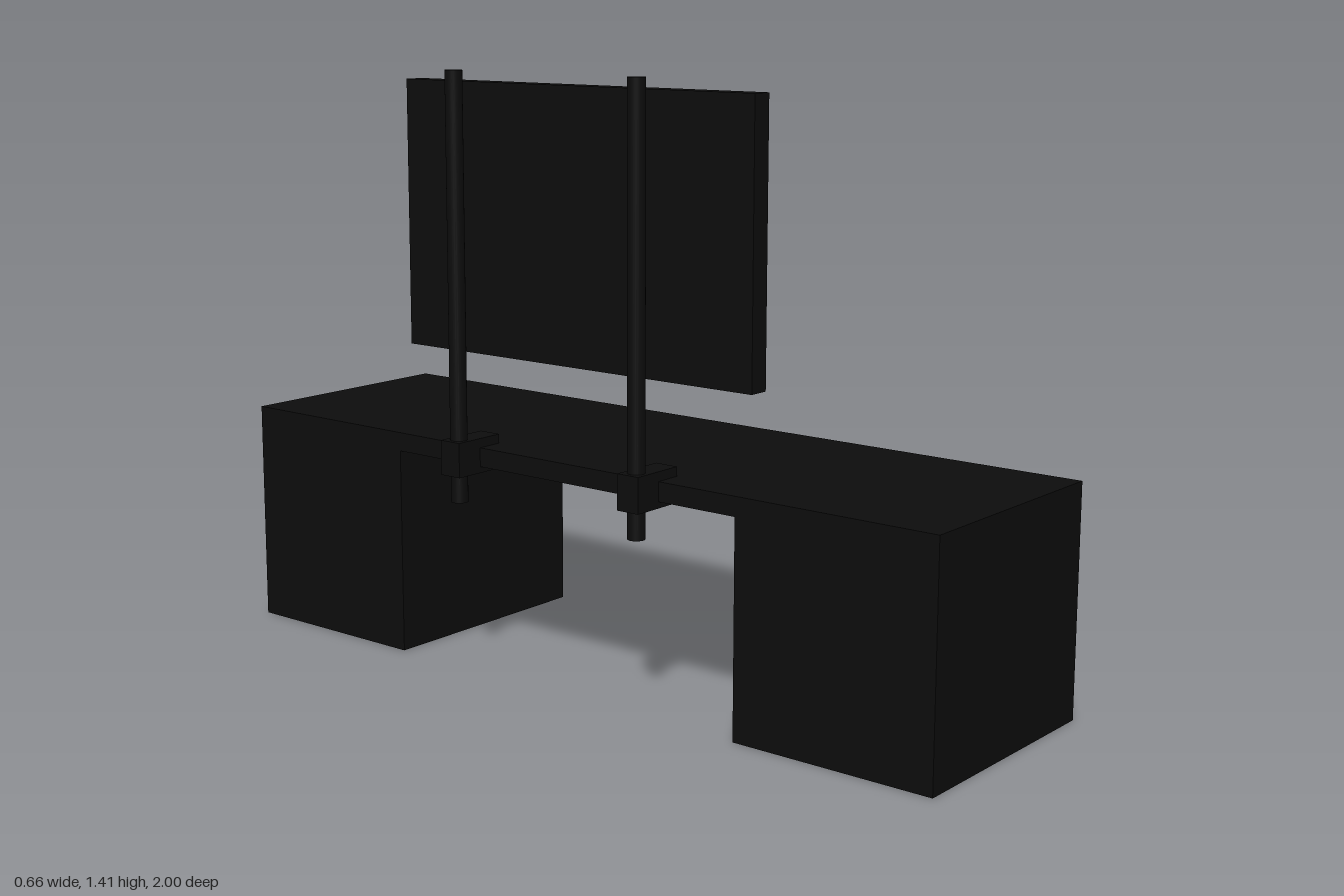
import * as THREE from 'three';

const black = new THREE.MeshStandardMaterial({ color: 0x0d0d0d });
const grey = new THREE.MeshStandardMaterial({ color: 0xcccccc });

// Box given by its two extreme corners
function box(name, [x0, y0, z0], [x1, y1, z1], material = black) {
  const mesh = new THREE.Mesh(new THREE.BoxGeometry(x1 - x0, y1 - y0, z1 - z0), material);
  mesh.position.set((x0 + x1) / 2, (y0 + y1) / 2, (z0 + z1) / 2);
  mesh.name = name;
  return mesh;
}

function createDesk() {
  const desk = new THREE.Group();
  desk.name = 'desk';
  desk.add(
    box('deskTop', [-0.26, 0.5, -1], [0.33, 0.545, 1]),
    box('leftPedestal', [-0.26, 0, 0.5], [0.33, 0.5, 1]),
    box('rightPedestal', [-0.26, 0, -1], [0.33, 0.5, -0.5])
  );
  return desk;
}

function createMonitor() {
  const monitor = new THREE.Group();
  monitor.name = 'monitor';

  // Bezel: rectangle with a window, extruded through the depth
  const outline = new THREE.Shape([
    new THREE.Vector2(-0.505, 0.755), new THREE.Vector2(0.505, 0.755),
    new THREE.Vector2(0.505, 1.385), new THREE.Vector2(-0.505, 1.385)
  ]);
  outline.holes.push(new THREE.Path([
    new THREE.Vector2(-0.457, 0.785), new THREE.Vector2(-0.457, 1.355),
    new THREE.Vector2(0.457, 1.355), new THREE.Vector2(0.457, 0.785)
  ]));
  const bezel = new THREE.Mesh(
    new THREE.ExtrudeGeometry(outline, { depth: 0.05, bevelEnabled: false }), black);
  bezel.rotation.y = Math.PI / 2;
  bezel.position.x = -0.21;
  bezel.name = 'bezel';

  // Recessed screen in front of the closed back
  monitor.add(
    bezel,
    box('backPanel', [-0.21, 0.785, -0.457], [-0.195, 1.355, 0.457]),
    box('screen', [-0.195, 0.785, -0.457], [-0.187, 1.355, 0.457], grey)
  );
  return monitor;
}

// Upright post held by a C-shaped clamp gripping the desk edge
function createPost(z) {
  const group = new THREE.Group();
  group.name = 'clampedPost';
  const post = new THREE.Mesh(new THREE.CylinderGeometry(0.02, 0.02, 0.995, 24), black);
  post.position.set(-0.3, 0.9175, z);
  post.name = 'post';

  const clampShape = new THREE.Shape([
    [-0.33, 0.485], [-0.195, 0.485], [-0.195, 0.5], [-0.26, 0.5],
    [-0.26, 0.545], [-0.195, 0.545], [-0.195, 0.567], [-0.33, 0.567]
  ].map(([x, y]) => new THREE.Vector2(x, y)));
  const clamp = new THREE.Mesh(
    new THREE.ExtrudeGeometry(clampShape, { depth: 0.058, bevelEnabled: false }), black);
  clamp.position.z = z - 0.029;
  clamp.name = 'clamp';
  group.add(post, clamp);
  return group;
}

export function createModel() {
  const model = new THREE.Group();
  model.name = 'deskWithMonitor';
  model.add(createDesk(), createMonitor());
  for (const side of [1, -1]) model.add(createPost(side * 0.265));
  return model;
}
